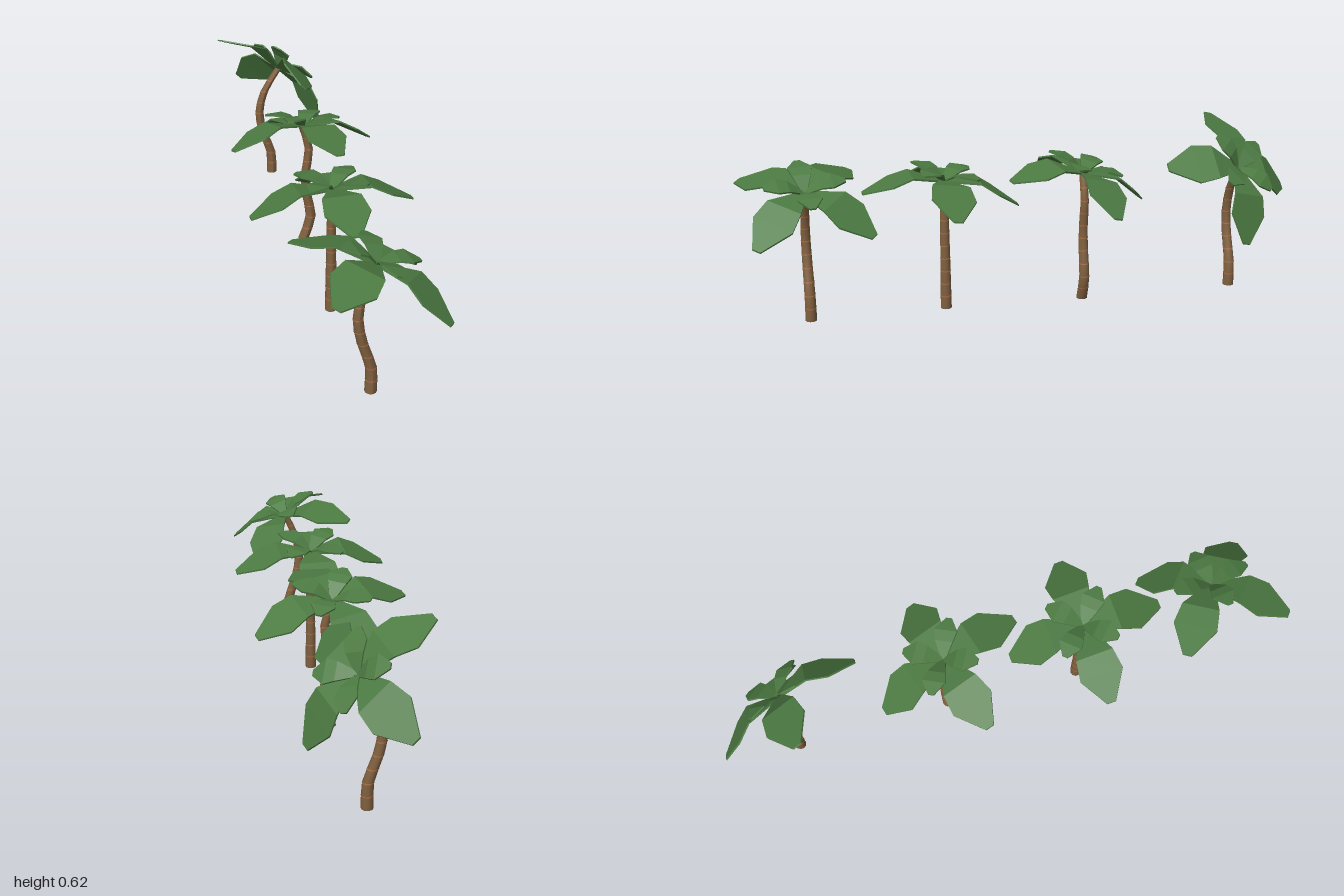
import * as THREE from 'three';

const barkMat = new THREE.MeshStandardMaterial({ color: 0x80603f });
const ringMat = new THREE.MeshStandardMaterial({ color: 0xa86c46 });
const leafMat = new THREE.MeshStandardMaterial({ color: 0x4c7a42, flatShading: true });

// Leaf stations: [distance from stem, height, half width]
const LARGE = [[0, 0, 0.012], [0.12, 0.014, 0.066], [0.185, -0.018, 0.077], [0.277, -0.064, 0.016]];
const SMALL = [[0, 0, 0.008], [0.055, 0.034, 0.032], [0.092, 0.041, 0.042], [0.138, 0.036, 0.01]];

// Thin slab bent and widened along its stations
function leafGeometry(stations) {
  const n = stations.length - 1;
  const g = new THREE.BoxGeometry(1, 0.006, 2, n, 1, 1);
  const p = g.attributes.position;
  for (let i = 0; i < p.count; i++) {
    const [r, h, w] = stations[Math.round((p.getX(i) + 0.5) * n)];
    p.setXYZ(i, r, h + p.getY(i), p.getZ(i) * w);
  }
  g.computeVertexNormals();
  return g;
}

// Upright cylinder whose levels follow a sideways curve
function bentCylinder(rTop, rBottom, y0, y1, levels, offset) {
  const g = new THREE.CylinderGeometry(rTop, rBottom, y1 - y0, 10, levels);
  g.translate(0, (y0 + y1) / 2, 0);
  const p = g.attributes.position;
  for (let i = 0; i < p.count; i++) p.setX(i, p.getX(i) + offset(p.getY(i)));
  g.computeVertexNormals();
  return g;
}

function makeTrunk(path, topY) {
  const trunk = new THREE.Group();
  trunk.name = 'trunk';
  const steps = path.length - 1;
  const curve = new THREE.CatmullRomCurve3(path.map((x, i) => new THREE.Vector3(x, (i / steps) * topY, 0)));
  const offset = y => curve.getPoint(THREE.MathUtils.clamp(y / topY, 0, 1)).x;
  const radius = y => 0.02 - 0.006 * (y / topY);

  const bark = new THREE.Mesh(bentCylinder(radius(topY), radius(0), 0, topY, 10, offset), barkMat);
  bark.name = 'bark';
  trunk.add(bark);

  // Thin rings up the bark
  for (let i = 1; i < 10; i++) {
    const y = (i / 10) * topY, r = radius(y) + 0.0006;
    const ring = new THREE.Mesh(bentCylinder(r, r, y - 0.002, y + 0.002, 1, offset), ringMat);
    ring.name = 'barkRing';
    trunk.add(ring);
  }
  return trunk;
}

const LAYERS = [
  { name: 'largeLeaf', geometry: leafGeometry(LARGE), turn: 0 },
  { name: 'smallLeaf', geometry: leafGeometry(SMALL), turn: Math.PI / 4 },
];

function makeCrown() {
  const crown = new THREE.Group();
  crown.name = 'crown';
  for (const { name, geometry, turn } of LAYERS) {
    for (let i = 0; i < 4; i++) {
      const leaf = new THREE.Mesh(geometry, leafMat);
      leaf.name = name;
      leaf.rotation.y = turn + (i * Math.PI) / 2;
      crown.add(leaf);
    }
  }
  return crown;
}

// path: trunk x at even heights; crown tilt is [x, yaw, z]
const TREES = [
  { z: 0.78, topY: 0.463, path: [-0.02, -0.021, -0.05, -0.066, -0.05, -0.01], tilt: [-0.02, 0.87, -0.36] },
  { z: 0.303, topY: 0.468, path: [-0.013, -0.013, -0.013, -0.013, -0.013, -0.013], tilt: [-0.15, 0, 0] },
  { z: -0.192, topY: 0.468, path: [0.022, 0.05, 0.034, 0.031, 0.043, 0.018], tilt: [-0.27, 0.23, -0.06] },
  { z: -0.762, topY: 0.458, path: [0.036, 0.034, 0.003, -0.011, 0.012, 0.07], tilt: [-0.38, 0, -0.78] },
];

export function createModel() {
  const model = new THREE.Group();
  model.name = 'palmTrees';
  for (const { z, topY, path, tilt } of TREES) {
    const tree = new THREE.Group();
    tree.name = 'palmTree';
    tree.position.z = z;
    const crown = makeCrown();
    crown.position.set(path[path.length - 1], topY, 0);
    crown.rotation.set(tilt[0], tilt[1], tilt[2], 'ZXY');
    tree.add(makeTrunk(path, topY), crown);
    model.add(tree);
  }
  return model;
}
